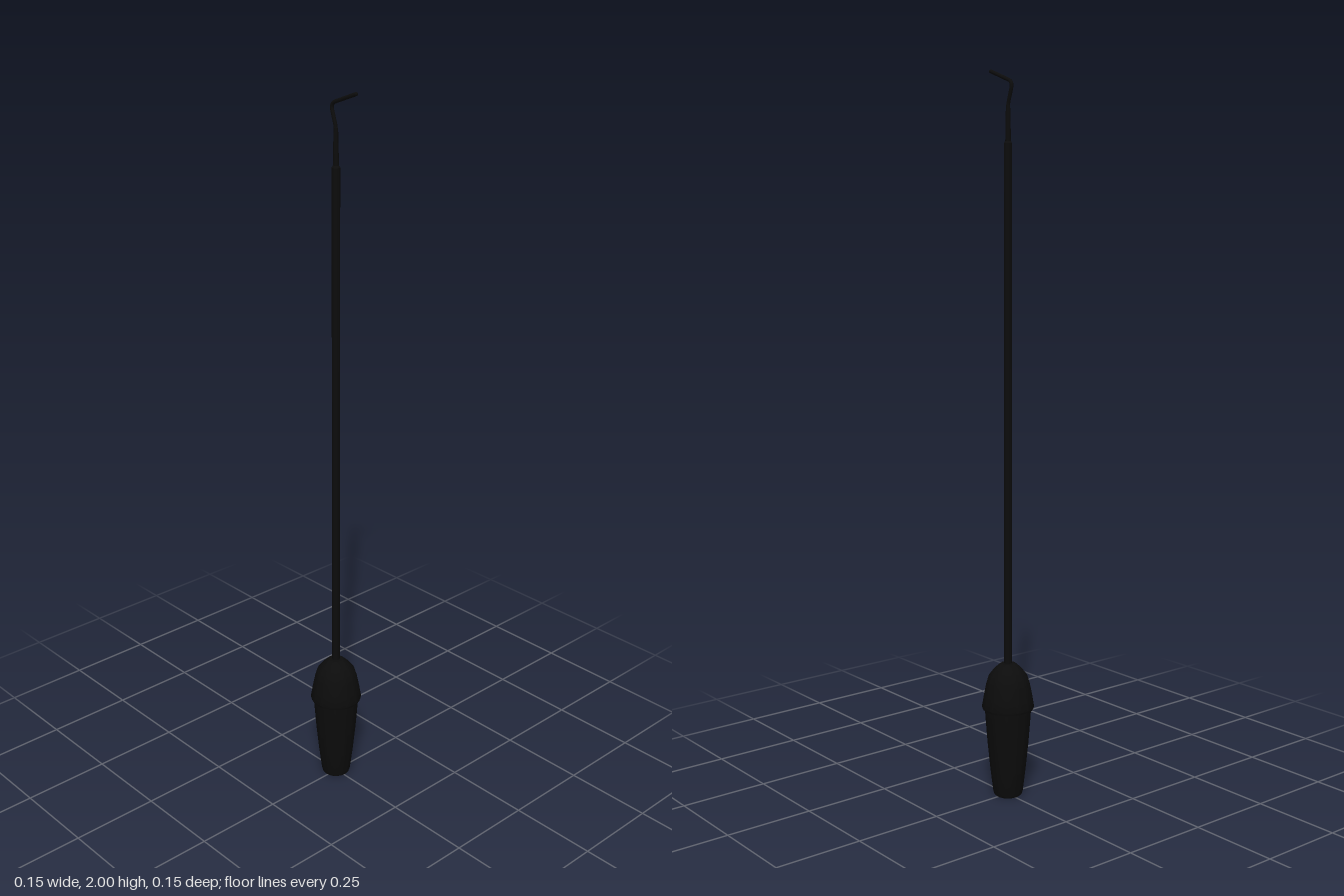
import * as THREE from 'three';
import { toCreasedNormals } from 'three/addons/utils/BufferGeometryUtils.js';

export function createModel() {
  const group = new THREE.Group();
  const black = new THREE.MeshStandardMaterial({ color: 0x0c0c0c });
  const axisX = -0.002;

  function add(name, geometry) {
    const mesh = new THREE.Mesh(geometry, black);
    mesh.name = name;
    group.add(mesh);
    return mesh;
  }

  // Turned part from [radius, height] pairs, bottom to top
  function turned(name, profile, segments) {
    const points = profile.map(([r, y]) => new THREE.Vector2(r, y));
    const geometry = toCreasedNormals(new THREE.LatheGeometry(points, segments), 0.5);
    add(name, geometry).position.x = axisX;
  }

  // Tapered grip with rounded foot
  turned('handleGrip', [
    [0, 0], [0.034, 0], [0.039, 0.004], [0.042, 0.014], [0.05, 0.08],
    [0.058, 0.16], [0.063, 0.225], [0.065, 0.256], [0, 0.256],
  ], 48);

  // Flared cap above the grip
  turned('handleCap', [
    [0, 0.254], [0.071, 0.254], [0.073, 0.26], [0.068, 0.29], [0.061, 0.325],
    [0.054, 0.348], [0.042, 0.364], [0.028, 0.378], [0.02, 0.384], [0, 0.385],
  ], 48);

  // Long rod stepping down to the neck
  turned('shaft', [[0, 0.37], [0.011, 0.37], [0.011, 1.806], [0.007, 1.812], [0, 1.812]], 24);
  turned('neck', [[0, 1.8], [0.0075, 1.8], [0.007, 1.86], [0.0055, 1.905], [0, 1.907]], 20);

  // Bent wire hook, rounded at the bends
  const v = (x, y) => new THREE.Vector3(x, y, 0);
  const path = new THREE.CurvePath();
  path.add(new THREE.LineCurve3(v(axisX, 1.87), v(axisX, 1.895)));
  path.add(new THREE.QuadraticBezierCurve3(v(axisX, 1.895), v(axisX, 1.907), v(-0.006, 1.918)));
  path.add(new THREE.LineCurve3(v(-0.006, 1.918), v(-0.015, 1.945)));
  path.add(new THREE.QuadraticBezierCurve3(v(-0.015, 1.945), v(-0.021, 1.963), v(-0.003, 1.969)));
  path.add(new THREE.LineCurve3(v(-0.003, 1.969), v(0.07, 1.995)));
  add('hookWire', new THREE.TubeGeometry(path, 64, 0.005, 14));

  // Rounded end of the wire
  add('hookTip', new THREE.SphereGeometry(0.005, 14, 10)).position.set(0.07, 1.995, 0);

  return group;
}
